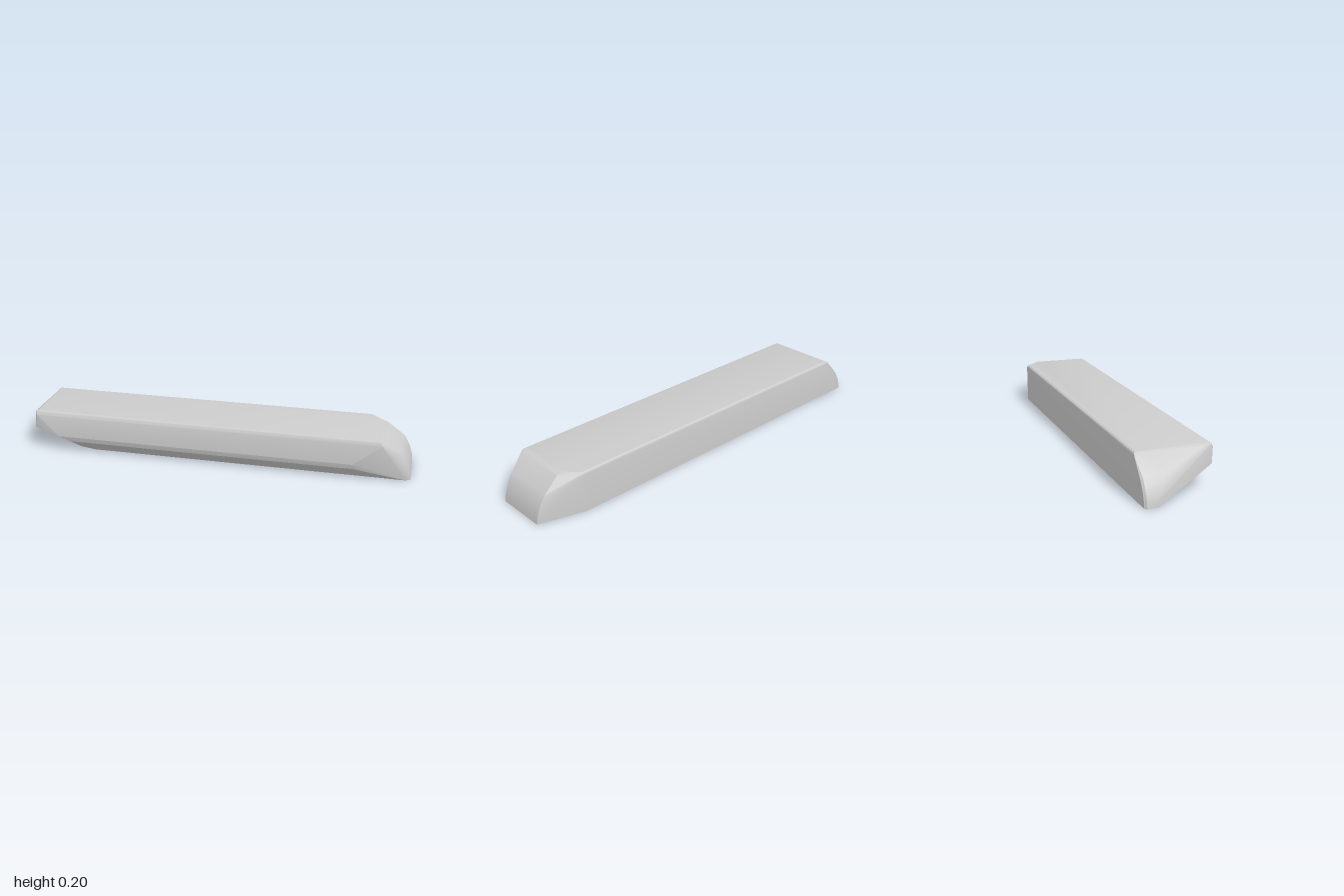
import * as THREE from 'three';
import { ConvexGeometry } from 'three/addons/geometries/ConvexGeometry.js';
import { toCreasedNormals } from 'three/addons/utils/BufferGeometryUtils.js';

export function createModel() {
  const group = new THREE.Group();
  const points = [];
  const add = (x, y, z) => points.push(new THREE.Vector3(x, y, z));

  // Lengthwise edges of the bar: [left x, right x, y, z]
  const edges = [
    [-0.57, 0.975, 0, 0.13], [-0.68, 0.73, 0.055, 0.182], [-0.74, 0.73, 0.08, 0.19],
    [-0.855, 0.86, 0.18, 0.175], [-0.86, 0.855, 0.195, 0.167], [-0.85, 0.84, 0.2, 0.155],
    [-0.86, 0.785, 0.2, -0.178], [-0.87, 0.785, 0.196, -0.187], [-0.88, 0.785, 0.185, -0.19],
    [-0.99, 0.78, 0, -0.19],
  ];
  for (const [x0, x1, y, z] of edges) {
    add(x0, y, z);
    add(x1, y, z);
  }

  // Rounded right nose, with a cut-back corner behind it: [x, y, front z]
  const nose = [
    [1, 0, 0.12], [0.996, 0.03, 0.12], [0.984, 0.07, 0.12],
    [0.963, 0.11, 0.122], [0.947, 0.13, 0.126], [0.87, 0.19, 0.16],
  ];
  for (const [x, y, z] of nose) {
    add(x, y, z);
    add(x, y, y > 0.15 ? -0.115 : -0.127);
  }
  add(0.85, 0.2, -0.11);

  // Slanted left tail, curving down to a point at the back: [x, y, front z]
  const tail = [
    [-1, 0, -0.13], [-0.996, 0.03, -0.127], [-0.985, 0.06, -0.12],
    [-0.965, 0.095, -0.1], [-0.945, 0.12, -0.07], [-0.87, 0.19, 0.12],
  ];
  for (const [x, y, z] of tail) {
    add(x, y, z);
    add(x, y, -0.18);
    add(x + 0.01, y, -0.19);
  }
  // Undercut below the left front corner
  add(-0.65, 0, 0.11);
  add(-0.87, 0.11, 0.165);

  const bar = new THREE.Mesh(
    toCreasedNormals(new ConvexGeometry(points), 0.4),
    new THREE.MeshStandardMaterial({ color: 0xcccccc })
  );
  bar.name = 'bevelledBar';
  group.add(bar);
  return group;
}
